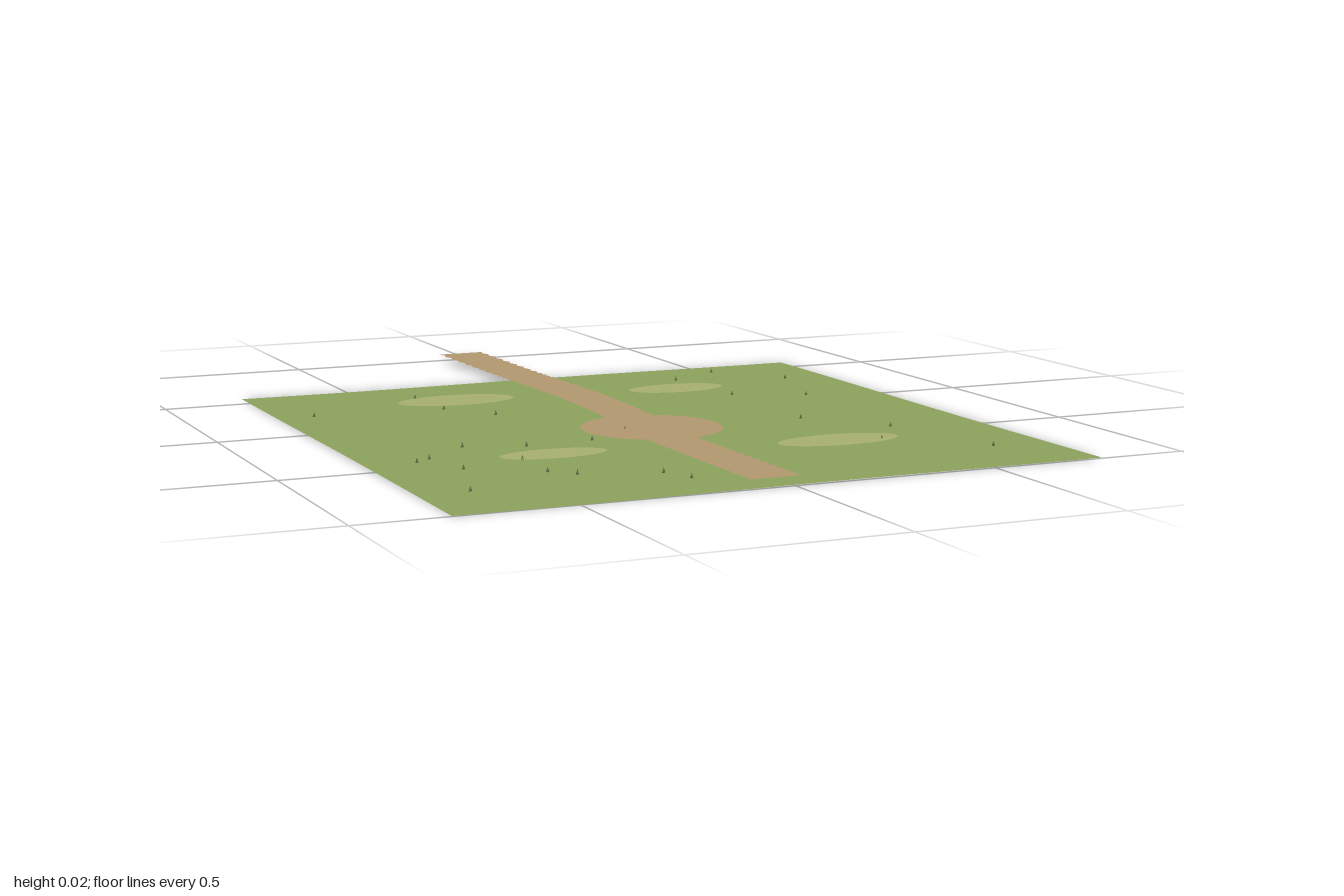
import * as THREE from 'three';

const material = (color) => new THREE.MeshStandardMaterial({ color, side: THREE.DoubleSide });

function addMesh(parent, name, geometry, mat) {
  const mesh = new THREE.Mesh(geometry, mat);
  mesh.name = name;
  parent.add(mesh);
  return mesh;
}

// Gentle swell of the lawn, between 0 and 0.004
const groundHeight = (x, z) => 0.002 + 0.001 * (Math.sin(x * 5 + 1) + Math.cos(z * 4 + x * 2));

// Flat ribbon along a winding centre line, with ragged edges, rising slightly to the back
function pathGeometry() {
  const curve = new THREE.CatmullRomCurve3([
    [-0.01, 0.0065, 0.93], [-0.017, 0.0068, 0.6], [-0.018, 0.007, 0.42], [0.012, 0.0075, 0.1],
    [0.022, 0.009, -0.2], [0.012, 0.011, -0.4], [-0.004, 0.0135, -0.6], [-0.022, 0.0175, -1],
  ].map((p) => new THREE.Vector3(...p)));
  const rows = 120, positions = [], index = [];
  for (let i = 0; i <= rows; i++) {
    const p = curve.getPoint(i / rows);
    const half = i % 2 ? 0.057 : 0.065;
    positions.push(p.x - half, p.y, p.z, p.x + half, p.y, p.z);
    if (i < rows) {
      const a = i * 2;
      index.push(a, a + 1, a + 2, a + 1, a + 3, a + 2);
    }
  }
  const geometry = new THREE.BufferGeometry();
  geometry.setAttribute('position', new THREE.Float32BufferAttribute(positions, 3));
  geometry.setIndex(index);
  geometry.computeVertexNormals();
  return geometry;
}

export function createModel() {
  const model = new THREE.Group();
  model.name = 'meadowWithPath';
  const grass = material(0x8ba05b), dirt = material(0xb0966f);
  const dryGrass = material(0xa5ae6e), blade = material(0x4a5f2c);

  // Lawn
  const lawn = new THREE.PlaneGeometry(1.565, 1.57, 32, 32).rotateX(-Math.PI / 2).translate(0, 0, 0.215);
  const pos = lawn.attributes.position;
  for (let i = 0; i < pos.count; i++) pos.setY(i, groundHeight(pos.getX(i), pos.getZ(i)));
  lawn.computeVertexNormals();
  addMesh(model, 'lawn', lawn, grass);

  // Path and round clearing
  addMesh(model, 'path', pathGeometry(), dirt);
  const clearing = new THREE.CircleGeometry(0.172, 40).rotateX(-Math.PI / 2);
  addMesh(model, 'clearing', clearing, dirt).position.set(-0.002, 0.0085, 0.265);

  // Dry oval patches: x, z, half width, half depth
  for (const [x, z, rx, rz] of [
    [-0.29, -0.31, 0.155, 0.079], [0.31, -0.26, 0.132, 0.066],
    [-0.343, 0.474, 0.13, 0.057], [0.336, 0.578, 0.156, 0.068],
  ]) {
    const patch = new THREE.CircleGeometry(1, 36).rotateX(-Math.PI / 2);
    const mesh = addMesh(model, 'dryPatch', patch, dryGrass);
    mesh.scale.set(rx, 1, rz);
    mesh.position.set(x, 0.0055, z);
  }

  // Scattered grass blades: x, z
  const bladeGeometry = new THREE.ConeGeometry(0.004, 0.012, 4).translate(0, 0.006, 0);
  const blades = new THREE.Group();
  blades.name = 'grassBlades';
  model.add(blades);
  for (const [x, z] of [
    [-0.69, -0.24], [-0.37, -0.4], [-0.36, -0.21], [-0.27, -0.08], [0.52, -0.48], [0.37, -0.39],
    [0.66, -0.31], [0.4, -0.11], [0.58, -0.04], [0.4, 0.27], [0.55, 0.45], [0.44, 0.6], [0.64, 0.77],
    [-0.19, 0.34], [-0.36, 0.35], [-0.5, 0.3], [-0.62, 0.41], [-0.66, 0.44], [-0.59, 0.55],
    [-0.43, 0.5], [-0.43, 0.65], [-0.38, 0.7], [-0.66, 0.78], [-0.2, 0.76], [-0.17, 0.84], [-0.07, 0.26],
  ]) addMesh(blades, 'grassBlade', bladeGeometry, blade).position.set(x, groundHeight(x, z), z);

  return model;
}
